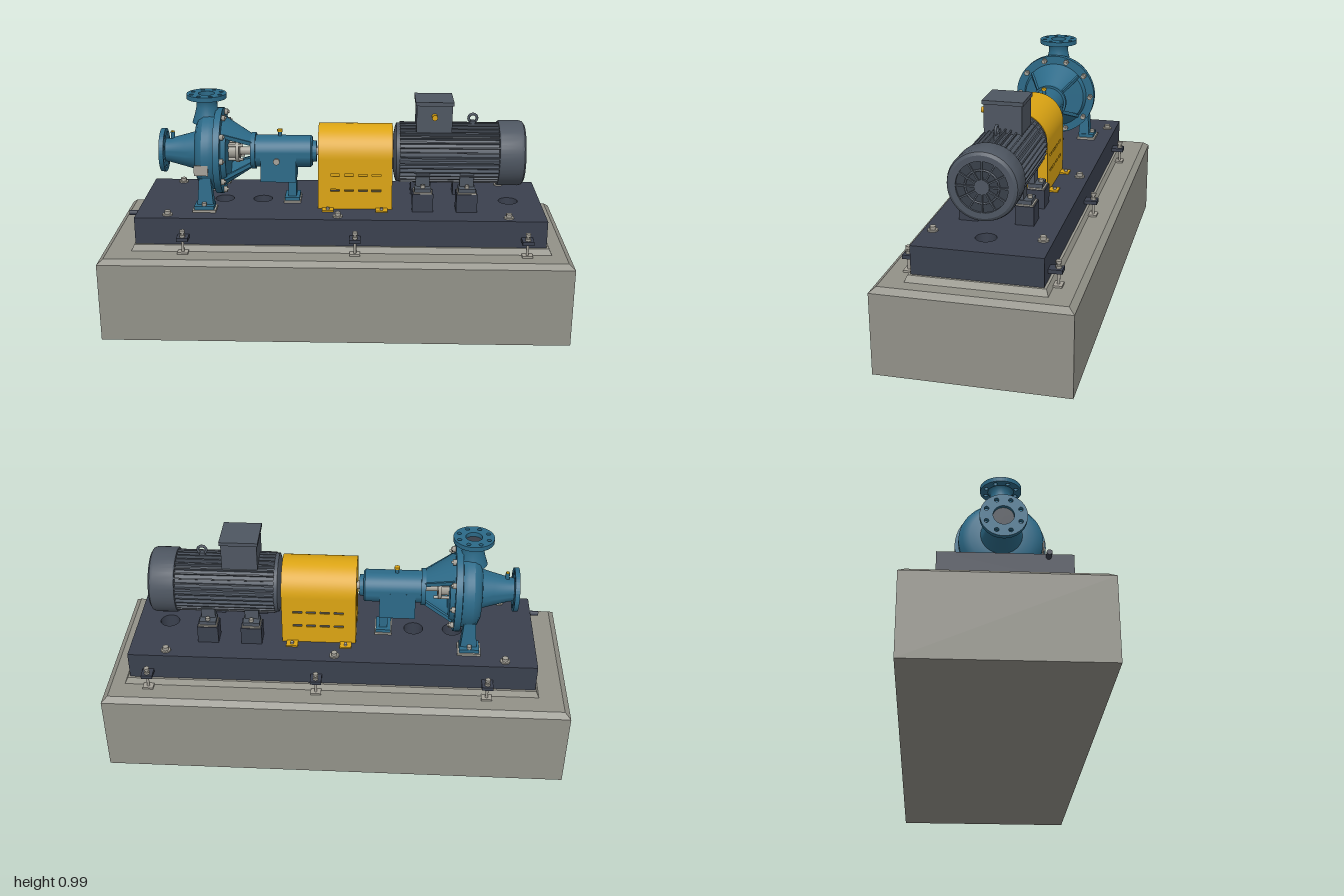
import * as THREE from 'three';
import { toCreasedNormals } from 'three/addons/utils/BufferGeometryUtils.js';

const mat = (name, color, side = THREE.FrontSide) => new THREE.MeshStandardMaterial({ name, color, side });
const AXIS = 0.732, DECK = 0.509;

export function createModel() {
  const root = new THREE.Group();
  root.name = 'pumpSet';
  const concrete = mat('concrete', 0x929188), grout = mat('grout', 0x9b9a90);
  const steelDark = mat('baseSteel', 0x3a404e), blue = mat('pumpBlue', 0x2c6a88, THREE.DoubleSide);
  const yellow = mat('guardYellow', 0xdba413, THREE.DoubleSide), gray = mat('motorGray', 0x4e5661);
  const steel = mat('steel', 0xa5a299), dark = mat('grilleDark', 0x383f49);

  const group = (name, x = 0, y = 0, z = 0) => {
    const g = new THREE.Group();
    g.name = name;
    g.position.set(x, y, z);
    root.add(g);
    return g;
  };
  const add = (parent, name, geo, material, x = 0, y = 0, z = 0) => {
    const m = new THREE.Mesh(geo, material);
    m.name = name;
    m.position.set(x, y, z);
    parent.add(m);
    return m;
  };
  const box = (w, h, d) => new THREE.BoxGeometry(w, h, d);
  const cyl = (r, h, n = 24, r2 = r) => new THREE.CylinderGeometry(r2, r, h, n);
  const cylX = (r, h, n = 32, r2 = r) => cyl(r, h, n, r2).rotateZ(-Math.PI / 2);
  const cylZ = (r, h, n = 16) => cyl(r, h, n).rotateX(Math.PI / 2);
  // Profile of [x, radius] pairs turned around the shaft axis
  const turned = (pts, n = 48) => toCreasedNormals(
    new THREE.LatheGeometry(pts.map(([x, r]) => new THREE.Vector2(r, x)), n).rotateZ(-Math.PI / 2), 0.55);
  // Box whose top is smaller than its bottom, standing on y = 0
  const frustum = (w, d, w2, d2, h) => {
    const g = box(w, h, d).translate(0, h / 2, 0), p = g.attributes.position;
    for (let i = 0; i < p.count; i++)
      if (p.getY(i) > h / 2) p.setXYZ(i, p.getX(i) * w2 / w, h, p.getZ(i) * d2 / d);
    g.computeVertexNormals();
    return g;
  };
  const extrude = (shape, depth) => new THREE.ExtrudeGeometry(shape, { depth, bevelEnabled: false, curveSegments: 24 });
  const hole = (x, y, r) => new THREE.Path().absarc(x, y, r, 0, Math.PI * 2, true);
  const rect = (S, x0, y0, x1, y1) => new S([[x0, y0], [x1, y0], [x1, y1], [x0, y1]].map(p => new THREE.Vector2(...p)));

  // Foundation and grout
  const foundation = group('foundation');
  add(foundation, 'concreteBlock', box(2, 0.345, 0.79), concrete, 0, 0.1725, 0);
  add(foundation, 'concreteChamfer', frustum(2, 0.79, 1.95, 0.74, 0.02), concrete, 0, 0.345, 0);
  add(foundation, 'groutBed', frustum(1.79, 0.56, 1.765, 0.54, 0.026), grout, 0.022, 0.365, 0);

  // Baseplate with grout holes, anchor nuts and levelling lugs
  const base = group('baseplate');
  const deck = rect(THREE.Shape, -0.857, -0.26, 0.895, 0.26);
  deck.holes = [-0.5, -0.33, 0.755].map(x => hole(x, 0, 0.042));
  add(base, 'deck', extrude(deck, DECK - 0.39).rotateX(-Math.PI / 2), steelDark, 0, 0.39, 0);
  add(base, 'drainPipe', cylX(0.011, 0.05, 16), steelDark, -0.87, 0.497, 0.163);
  for (const s of [-1, 1]) {
    for (const x of [-0.72, 0.008, 0.735]) {
      add(base, 'anchorWasher', cyl(0.021, 0.006), steel, x, DECK + 0.003, s * 0.22);
      add(base, 'anchorNut', cyl(0.014, 0.016, 6), steel, x, DECK + 0.012, s * 0.22);
    }
    for (const x of [-0.648, 0.083, 0.81]) {
      add(base, 'levellingLug', box(0.048, 0.016, 0.055), steelDark, x, 0.43, s * 0.287);
      add(base, 'levellingBolt', cyl(0.006, 0.1, 12), steel, x, 0.417, s * 0.296);
      add(base, 'levellingHead', cyl(0.012, 0.012, 6), steel, x, 0.463, s * 0.296);
      add(base, 'levellingNut', cyl(0.012, 0.01, 6), steel, x, 0.443, s * 0.296);
      add(base, 'levellingPad', box(0.045, 0.008, 0.035), steel, x, 0.369, s * 0.296);
    }
  }

  // Pump casing, turned about the shaft
  const pump = group('pump', 0, AXIS, 0);
  add(pump, 'volute', turned([[-0.755, 0.05], [-0.735, 0.052], [-0.66, 0.072], [-0.615, 0.085], [-0.61, 0.13],
    [-0.597, 0.158], [-0.575, 0.173], [-0.548, 0.174], [-0.528, 0.166], [-0.525, 0.188], [-0.496, 0.188],
    [-0.496, 0.15], [-0.475, 0.14], [-0.475, 0.03]]), blue);
  add(pump, 'namePlate', box(0.06, 0.045, 0.006), steel, -0.577, -0.04, 0.172);
  const flange = (r, bore, n) => {
    const s = new THREE.Shape().absarc(0, 0, r, 0, Math.PI * 2);
    s.holes = [hole(0, 0, bore)];
    for (let i = 0; i < n; i++) {
      const a = (i + 0.5) / n * Math.PI * 2;
      s.holes.push(hole(Math.cos(a) * r * 0.77, Math.sin(a) * r * 0.77, 0.009));
    }
    return extrude(s, 0.02);
  };
  add(pump, 'suctionFlange', flange(0.095, 0.042, 8).rotateY(Math.PI / 2), blue, -0.77, 0, 0);
  add(pump, 'suctionBore', cylX(0.043, 0.004), dark, -0.753, 0, 0);
  add(pump, 'dischargeFlange', flange(0.086, 0.035, 8).rotateX(-Math.PI / 2), blue, -0.565, 0.237, 0);
  add(pump, 'dischargeBore', cyl(0.036, 0.004), dark, -0.565, 0.236, 0);
  add(pump, 'dischargeNeck', new THREE.LatheGeometry([[0.065, 0.13], [0.052, 0.17], [0.045, 0.2], [0.045, 0.225],
    [0.055, 0.238]].map(p => new THREE.Vector2(...p)), 32), blue, -0.565, 0, 0);
  add(pump, 'gaugePlug', cyl(0.009, 0.035, 12), blue, -0.72, 0.065, 0);
  add(pump, 'gaugePlugCap', cyl(0.008, 0.006, 6), yellow, -0.72, 0.084, 0);
  for (let i = 0; i < 10; i++) {
    const a = i / 10 * Math.PI * 2;
    add(pump, 'casingNut', cylX(0.013, 0.016, 6), steel, -0.489, Math.sin(a) * 0.17, Math.cos(a) * 0.17);
    add(pump, 'casingStud', cylX(0.006, 0.05, 8), steel, -0.5, Math.sin(a) * 0.17, Math.cos(a) * 0.17);
  }

  // Open lantern: two curved webs, with gland and shaft between them
  for (const start of [Math.PI / 2, Math.PI * 1.5]) {
    const web = r => new THREE.CylinderGeometry(0.07 * r, 0.15 * r, 0.125, 24, 1, true, start - 0.85, 1.7).rotateZ(-Math.PI / 2);
    add(pump, 'lanternWeb', web(1), blue, -0.4275, 0, 0);
    add(pump, 'lanternWebInner', web(0.88), blue, -0.4275, 0, 0);
    for (const da of [-0.85, 0.85]) {
      const rib = add(pump, 'lanternRib', box(0.15, 0.016, 0.014), blue, -0.4275, -Math.sin(start + da) * 0.105, Math.cos(start + da) * 0.105);
      const dir = new THREE.Vector3(0.125, Math.sin(start + da) * 0.08, -Math.cos(start + da) * 0.08).normalize();
      rib.quaternion.setFromUnitVectors(new THREE.Vector3(1, 0, 0), dir);
    }
  }
  add(pump, 'glandRing', cylX(0.052, 0.014), steel, -0.435, 0, 0);
  add(pump, 'glandSleeve', cylX(0.034, 0.06), steel, -0.455, 0, 0);
  for (const a of [0, 1, 2, 3])
    add(pump, 'glandStud', cylX(0.007, 0.07, 8), steel, -0.445, Math.sin(a * Math.PI / 2 + 0.78) * 0.044, Math.cos(a * Math.PI / 2 + 0.78) * 0.044);
  add(pump, 'shaft', cylX(0.018, 0.75, 24), steel, -0.105, 0, 0);

  // Bearing housing
  add(pump, 'bearingHousing', turned([[-0.375, 0.02], [-0.375, 0.08], [-0.355, 0.08], [-0.355, 0.07], [-0.115, 0.07],
    [-0.108, 0.063], [-0.108, 0.048], [-0.09, 0.045], [-0.09, 0.018]]), blue);
  add(pump, 'oilSump', box(0.155, 0.125, 0.14), blue, -0.255, -0.06, 0);
  add(pump, 'sightGlass', cylZ(0.014, 0.014), steel, -0.262, -0.028, 0.073);
  add(pump, 'breather', cyl(0.008, 0.03, 12), blue, -0.25, 0.08, 0);
  add(pump, 'breatherCap', cyl(0.012, 0.01, 12), yellow, -0.25, 0.093, 0);

  // Pump feet on shims
  for (const s of [-1, 1]) {
    add(pump, 'pumpLeg', frustum(0.07, 0.05, 0.05, 0.035, 0.12), blue, -0.565, DECK + 0.02 - AXIS, s * 0.135);
    add(pump, 'pumpFoot', box(0.085, 0.016, 0.07), blue, -0.568, DECK + 0.018 - AXIS, s * 0.147);
    add(pump, 'pumpShim', box(0.1, 0.01, 0.085), steel, -0.568, DECK + 0.005 - AXIS, s * 0.147);
    add(pump, 'footBolt', cyl(0.011, 0.018, 6), steel, -0.568, DECK + 0.03 - AXIS, s * 0.17);
  }
  add(pump, 'bearingLeg', box(0.035, 0.12, 0.06), blue, -0.197, -0.15, 0);
  add(pump, 'bearingFoot', box(0.065, 0.014, 0.1), blue, -0.197, DECK + 0.016 - AXIS, 0);
  add(pump, 'bearingShim', box(0.075, 0.009, 0.11), steel, -0.197, DECK + 0.0045 - AXIS, 0);

  // Coupling and its arched guard
  add(pump, 'coupling', cylX(0.055, 0.12), dark, 0.07, 0, 0);
  const guard = group('couplingGuard', 0, DECK, 0);
  const rise = AXIS - DECK;
  const side = rect(THREE.Shape, -0.08, 0, 0.24, rise);
  for (const y of [0.085, 0.154])
    for (const x of [-0.006, 0.054, 0.114, 0.172]) side.holes.push(rect(THREE.Path, x - 0.02, y - 0.005, x + 0.02, y + 0.005));
  add(guard, 'guardRoof', new THREE.CylinderGeometry(0.125, 0.125, 0.32, 40, 1, true, Math.PI, Math.PI).rotateZ(-Math.PI / 2), yellow, 0.08, rise, 0);
  const end = new THREE.Shape().moveTo(-0.124, 0).lineTo(-0.124, rise).absarc(0, rise, 0.124, Math.PI, 0, true)
    .lineTo(0.124, 0).lineTo(0.03, 0).lineTo(0.03, rise).absarc(0, rise, 0.03, 0, Math.PI, false).lineTo(-0.03, 0);
  for (const x of [-0.08, 0.235]) add(guard, 'guardEnd', extrude(end, 0.005).rotateY(Math.PI / 2), yellow, x, 0, 0);
  for (const s of [-1, 1]) {
    add(guard, 'guardSide', extrude(side, 0.005), yellow, 0, 0, s > 0 ? 0.12 : -0.125);
    for (const x of [-0.037, 0.195]) {
      add(guard, 'guardTab', box(0.05, 0.006, 0.045), yellow, x, 0.003, s * 0.143);
      add(guard, 'tabBolt', cyl(0.008, 0.01, 6), steel, x, 0.01, s * 0.148);
    }
  }

  // Motor with finned body
  const motor = group('motor', 0, AXIS, 0);
  add(motor, 'motorBody', cylX(0.114, 0.44, 48), gray, 0.48, 0, 0);
  add(motor, 'driveEndShield', turned([[0.243, 0.018], [0.243, 0.075], [0.25, 0.11], [0.256, 0.128], [0.272, 0.128], [0.272, 0.1]]), gray);
  for (let i = 0; i < 36; i++) {
    const fin = add(motor, 'coolingFin', box(0.425, 0.028, 0.006).translate(0.483, 0.119, 0), gray);
    fin.rotation.x = (i + 0.5) / 36 * Math.PI * 2;
  }

  // Fan cover and grille
  add(motor, 'fanCover', turned([[0.695, 0.1], [0.695, 0.139], [0.70, 0.142], [0.785, 0.142], [0.8, 0.137], [0.808, 0.125],
    [0.808, 0.102], [0.796, 0.102]]), gray);
  add(motor, 'grilleBack', cylX(0.104, 0.006, 40), dark, 0.796, 0, 0);
  add(motor, 'grilleHub', cylX(0.03, 0.012, 24), gray, 0.802, 0, 0);
  add(motor, 'grilleRing', new THREE.TorusGeometry(0.066, 0.004, 6, 40).rotateY(Math.PI / 2), gray, 0.801, 0, 0);
  for (let i = 0; i < 12; i++) {
    const spoke = add(motor, 'grilleSpoke', box(0.008, 0.08, 0.006).translate(0.803, 0.065, 0), gray);
    spoke.rotation.x = i / 12 * Math.PI * 2;
  }

  // Terminal box, cable gland and lifting eye
  add(motor, 'terminalBox', box(0.152, 0.12, 0.155), gray, 0.416, 0.17, 0);
  add(motor, 'terminalLid', box(0.163, 0.016, 0.168), gray, 0.416, 0.236, 0);
  add(motor, 'cableGland', cylZ(0.012, 0.03), yellow, 0.416, 0.182, 0.091);
  add(motor, 'liftingEye', new THREE.TorusGeometry(0.018, 0.006, 8, 24), gray, 0.585, 0.155, 0);
  add(motor, 'eyeBase', cyl(0.013, 0.03, 16), gray, 0.585, 0.13, 0);

  // Motor feet on pedestals
  for (const s of [-1, 1]) for (const x of [0.371, 0.56]) {
    add(motor, 'pedestal', box(0.09, 0.079, 0.077), steelDark, x, DECK + 0.0395 - AXIS, s * 0.114);
    add(motor, 'motorShim', box(0.08, 0.006, 0.068), steel, x, 0.591 - AXIS, s * 0.114);
    add(motor, 'motorFoot', box(0.072, 0.016, 0.062), gray, x, 0.602 - AXIS, s * 0.11);
    add(motor, 'footWeb', box(0.06, 0.07, 0.03), gray, x, -0.09, s * 0.092);
    add(motor, 'footBolt', cyl(0.01, 0.014, 6), steel, x, 0.616 - AXIS, s * 0.127);
  }
  return root;
}
